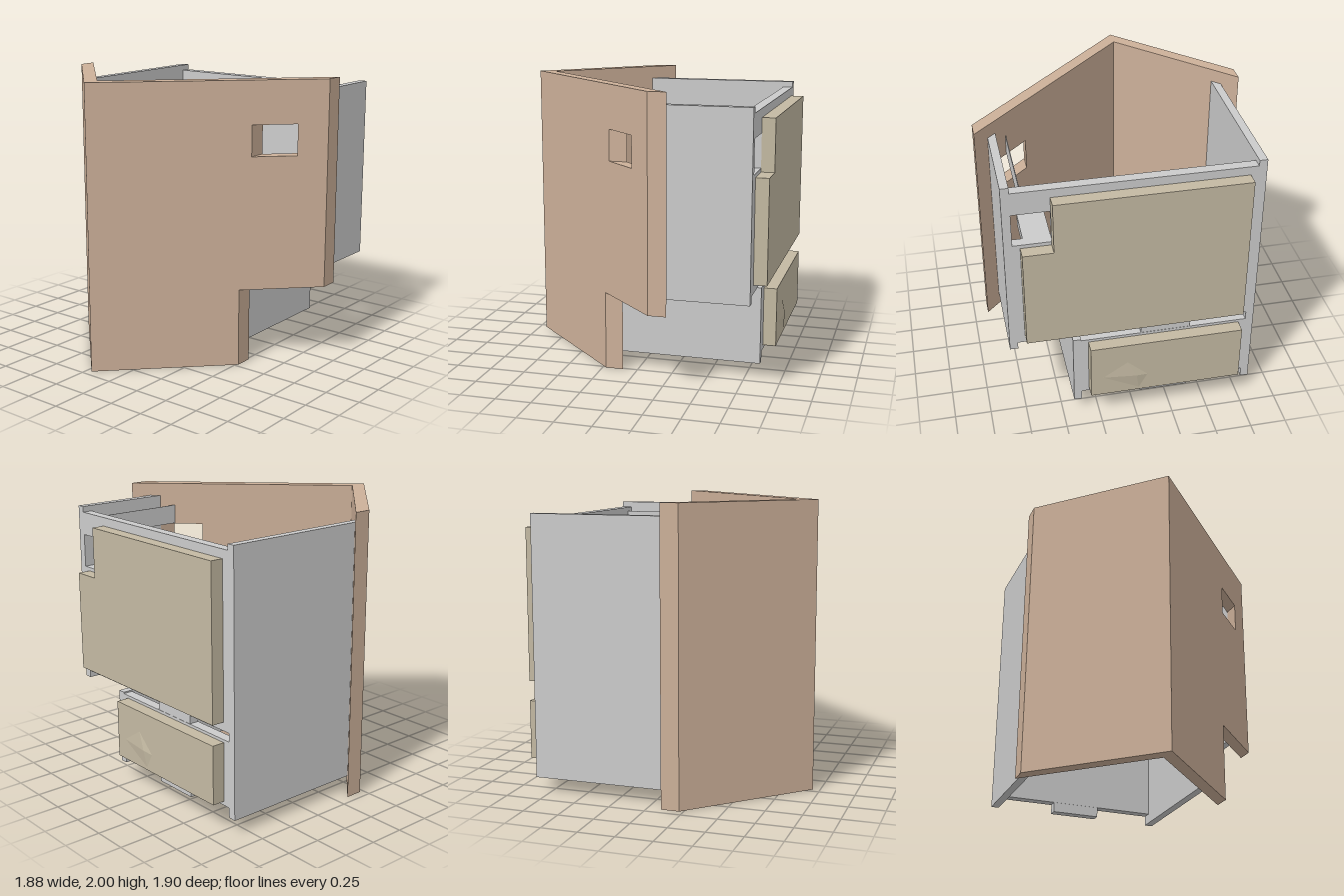
import * as THREE from 'three';

const grey = new THREE.MeshStandardMaterial({ color: 0xcccccc, flatShading: true });
const brown = new THREE.MeshStandardMaterial({ color: 0xccb099, flatShading: true });
const olive = new THREE.MeshStandardMaterial({ color: 0xc3b9a2, flatShading: true });

const outline = (points) => new THREE.Shape(points.map(([x, y]) => new THREE.Vector2(x, y)));
const rect = (x0, x1, y0, y1) => [[x0, y0], [x1, y0], [x1, y1], [x0, y1]];

// Board drawn in the front plane, running from z0 to z1
function board(points, z0, z1, hole) {
  const shape = outline(points);
  if (hole) shape.holes.push(outline(hole));
  const geo = new THREE.ExtrudeGeometry(shape, { depth: z1 - z0, bevelEnabled: false });
  return geo.translate(0, 0, z0);
}

// Upright panel drawn in plan (x, z), running from y0 to y1
function upright(plan, y0, y1) {
  const geo = new THREE.ExtrudeGeometry(outline(plan), { depth: y1 - y0, bevelEnabled: false });
  return geo.rotateX(Math.PI / 2).translate(0, y1, 0);
}

export function createModel() {
  const group = new THREE.Group();
  const add = (name, geo, material) => {
    const mesh = new THREE.Mesh(geo, material);
    mesh.name = name;
    group.add(mesh);
  };

  // Angled outer walls: flat boards sheared back 45 degrees from the corner
  const corner = -0.21;
  const shear = (geo) => {
    const p = geo.attributes.position;
    for (let i = 0; i < p.count; i++) p.setZ(i, p.getZ(i) - Math.abs(p.getX(i) - corner));
    geo.computeVertexNormals();
    return geo;
  };
  add('shortWall', shear(board(rect(-0.94, corner, 0, 2), 0.825, 0.95)), brown);
  add('longWall', shear(board(
    [[corner, 0], [0.515, 0], [0.515, 0.55], [0.938, 0.55], [0.938, 2], [corner, 2]],
    0.825, 0.95, rect(0.57, 0.79, 1.485, 1.7))), brown);

  // Cabinet sides, mitred against the inner faces of the walls
  const back = -0.85;
  const side = (name, x0, x1, y0, y1, wallZ) =>
    add(name, upright([[x0, back], [x1, back], [x1, wallZ(x1)], [x0, wallZ(x0)]], y0, y1), grey);
  const shortZ = (x) => 1.035 + x;
  const longZ = (x) => 0.615 - x;
  side('rightSide', -0.845, -0.79, 0.1, 1.91, shortZ);
  side('leftSide', 0.79, 0.845, 0.64, 1.91, longZ);
  side('lowerPartition', 0.365, 0.42, 0.1, 0.64, longZ);

  // Back frame, with an opening in line with the window
  add('upperBack', board(rect(-0.79, 0.79, 0.69, 1.87), back, -0.78,
    rect(0.535, 0.789, 1.48, 1.71)), grey);
  add('lowerBack', board(rect(-0.79, 0.365, 0.17, 0.63), back, -0.78), grey);
  add('middleStile', board(rect(-0.39, -0.05, 0.1, 0.7), back + 0.002, -0.782), grey);

  // Shelf below the opening and thin guide above it
  add('shelf', board(rect(0.535, 0.715, 1.4, 1.48), -0.78, -0.5), grey);
  add('guide', board(rect(0.713, 0.718, 1.705, 1.84), -0.78, -0.1), grey);

  // Fronts fixed to the back frame
  add('upperFront', board(
    [[-0.74, 0.75], [0.74, 0.75], [0.74, 1.455], [0.54, 1.455], [0.54, 1.81], [-0.74, 1.81]],
    -0.94, back), olive);
  add('lowerFront', board(rect(-0.74, 0.315, 0.2, 0.61), -0.94, back), olive);

  // Shallow faceted knob
  const rim = [[0.23, 0.35], [0.06, 0.46], [-0.08, 0.33], [-0.02, 0.22]];
  const points = [];
  rim.forEach(([x, y], i) => {
    const [u, v] = rim[(i + 1) % rim.length];
    points.push(x, y, -0.94, 0, 0.34, -0.953, u, v, -0.94);
  });
  const knob = new THREE.BufferGeometry();
  knob.setAttribute('position', new THREE.Float32BufferAttribute(points, 3));
  knob.computeVertexNormals();
  const knobMaterial = olive.clone();
  knobMaterial.side = THREE.DoubleSide;
  add('knob', knob, knobMaterial);

  return group;
}
